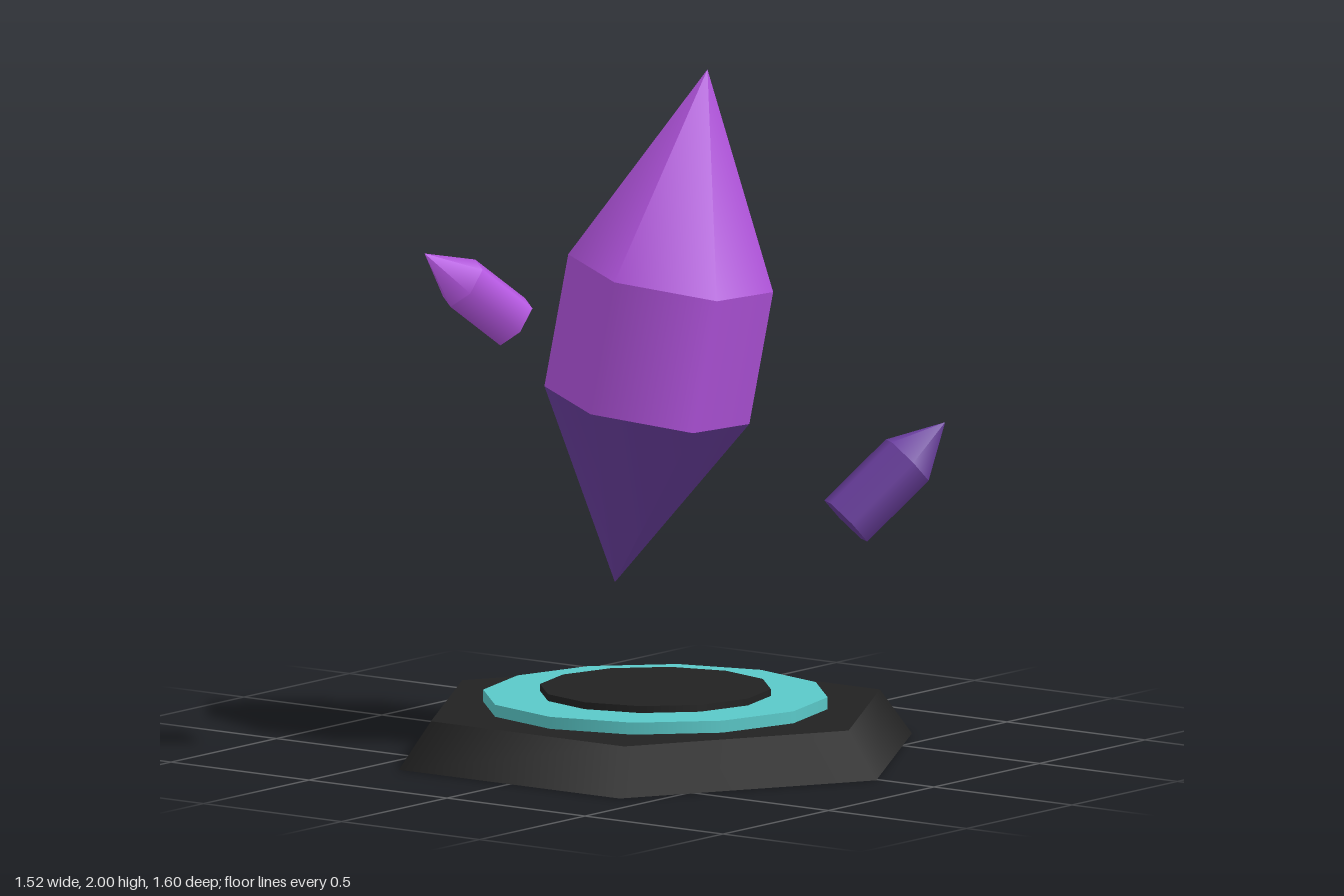
import * as THREE from 'three';

const mat = (name, color) => {
  const m = new THREE.MeshStandardMaterial({ color });
  m.name = name;
  return m;
};

export function createModel() {
  const stone = mat('darkStone', 0x222222);
  const teal = mat('tealRing', 0x5ac8c8);
  const violet = mat('brightViolet', 0xb455e0);
  const purple = mat('deepPurple', 0x6b3fa0);
  const model = new THREE.Group();
  model.name = 'floatingCrystal';
  const cx = -0.012;

  // Stacked pedestal discs: name, top radius, bottom radius, y from, y to, sides
  const disc = (name, rt, rb, y0, y1, sides, m) => {
    const mesh = new THREE.Mesh(new THREE.CylinderGeometry(rt, rb, y1 - y0, sides), m);
    mesh.name = name;
    mesh.position.set(cx, (y0 + y1) / 2, 0);
    model.add(mesh);
  };
  disc('pedestal', 0.7, 0.8, 0, 0.135, 6, stone);
  disc('glowRing', 0.5, 0.5, 0.135, 0.17, 12, teal);
  disc('centrePlate', 0.335, 0.335, 0.17, 0.19, 12, stone);

  // Six-sided crystal from a base point to a tip point; bottom > 0 adds a lower point
  const crystal = (name, from, to, r, bottom, top, spin, bodyMat, lowMat) => {
    const a = new THREE.Vector3(...from);
    const axis = new THREE.Vector3(...to).sub(a);
    const len = axis.length();
    const g = new THREE.Group();
    g.name = name;
    const add = (part, rt, rb, y0, y1, open, m) => {
      const mesh = new THREE.Mesh(new THREE.CylinderGeometry(rt, rb, y1 - y0, 6, 1, open), m);
      mesh.name = part;
      mesh.position.y = (y0 + y1) / 2;
      mesh.rotation.y = spin;
      g.add(mesh);
    };
    if (bottom > 0) add('lowerPoint', 0, r, -bottom, 0, true, lowMat);
    // The lower point is a cone turned upside down
    if (bottom > 0) {
      const low = g.children[0];
      low.rotation.set(Math.PI, -spin, 0, 'YXZ');
      low.rotation.y = spin;
      low.position.y = bottom / 2;
    }
    add('shaft', r, r, bottom, len - top, bottom > 0, bodyMat);
    add('upperPoint', 0, r, len - top, len, true, bodyMat);
    g.position.copy(a);
    g.quaternion.setFromUnitVectors(new THREE.Vector3(0, 1, 0), axis.normalize());
    model.add(g);
  };

  crystal('mainCrystal', [-0.06, 0.49, -0.11], [0.045, 2, 0.145], 0.3, 0.53, 0.61, 0.6, violet, purple);
  crystal('upperShard', [-0.512, 1.31, -0.135], [-0.76, 1.53, -0.265], 0.082, 0, 0.155, 0.3, violet);
  crystal('lowerShard', [0.52, 0.63, 0.283], [0.757, 0.905, 0.462], 0.09, 0, 0.155, 0.3, purple);

  return model;
}
